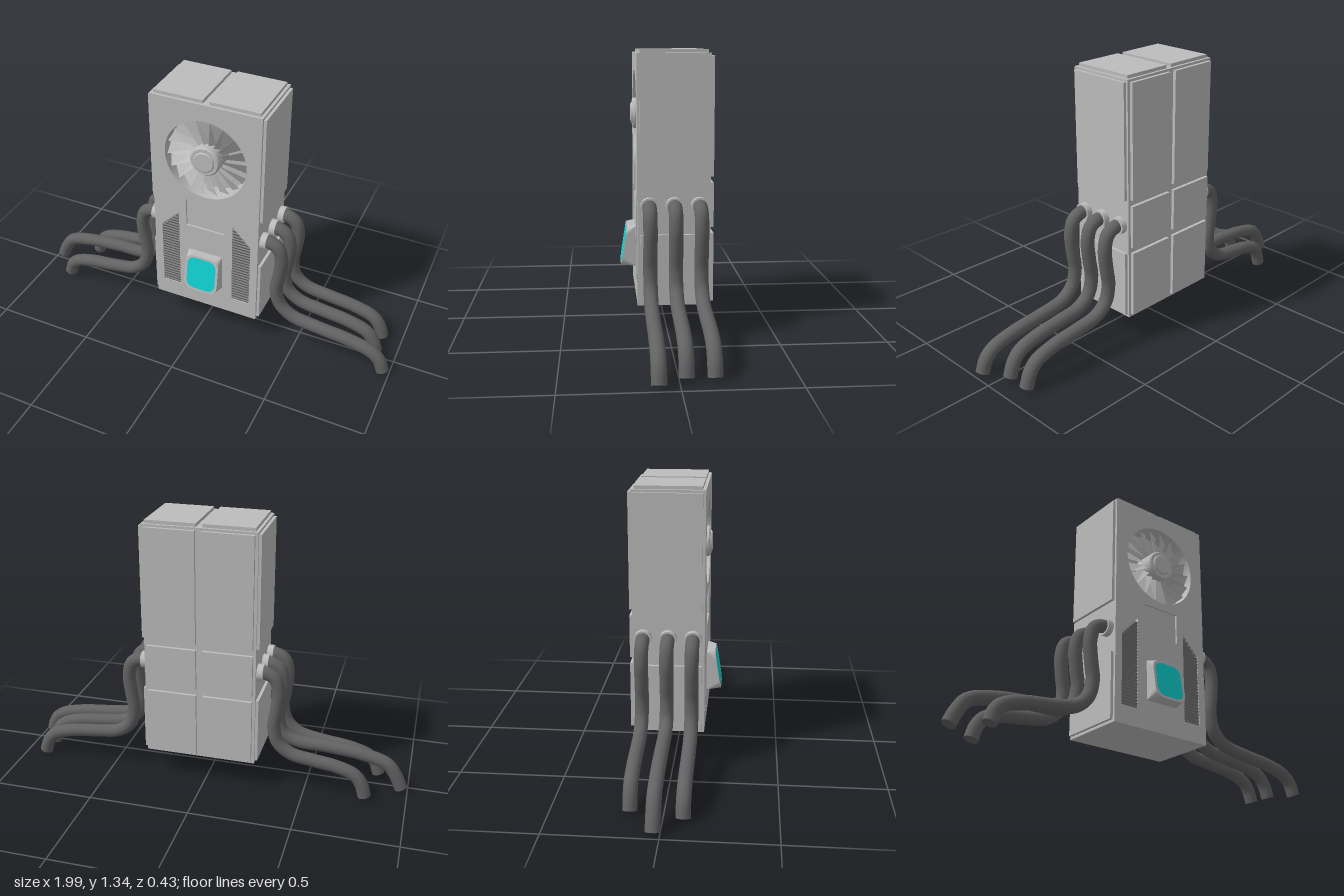
import * as THREE from 'three';

const CX = 0.023; // centre line of the cabinet
const FRONT = 0.143, BACK = -0.2, SPLIT = 0.04;
const FAN_Y = 1.025, FAN_R = 0.208;

export function createModel() {
  const model = new THREE.Group();
  const mat = (name, color, side = THREE.FrontSide) => {
    const m = new THREE.MeshStandardMaterial({ color, side });
    m.name = name;
    return m;
  };
  const grey = mat('casing grey', 0xbcbcbc, THREE.DoubleSide);
  const dark = mat('hose grey', 0x626262);
  const ventGrey = mat('vent grey', 0x7a7a7a);
  const cyan = mat('lamp cyan', 0x10d2d4);

  const add = (name, geo, material, parent = model) => {
    const mesh = new THREE.Mesh(geo, material);
    mesh.name = name;
    parent.add(mesh);
    return mesh;
  };
  // Box given by its limits
  const box = (name, x0, x1, y0, y1, z0, z1, material, parent) => {
    const m = add(name, new THREE.BoxGeometry(x1 - x0, y1 - y0, z1 - z0), material, parent);
    m.position.set((x0 + x1) / 2, (y0 + y1) / 2, (z0 + z1) / 2);
    return m;
  };
  const path = (points) => new THREE.Path(points.map(([x, y]) => new THREE.Vector2(x, y)));

  // Cabinet: rear block plus a front section with openings
  const W = 0.277, Y0 = 0.136, Y1 = 1.317;
  box('cabinetRear', CX - W, CX + W, Y0, Y1, BACK, SPLIT, grey);
  const face = new THREE.Shape([
    new THREE.Vector2(CX - W, Y0), new THREE.Vector2(CX + W, Y0),
    new THREE.Vector2(CX + W, Y1), new THREE.Vector2(CX - W, Y1)]);
  face.holes.push(new THREE.Path().absarc(CX, FAN_Y, FAN_R, 0, Math.PI * 2, true));
  face.holes.push(path([[-0.08, 0.623], [-0.08, 0.778], [0.126, 0.778], [0.126, 0.623]]));
  for (const s of [-1, 1]) {
    face.holes.push(path([[0.143, 0.227], [0.143, 0.687], [0.238, 0.59], [0.238, 0.227]]
      .map(([u, y]) => [CX + s * u, y])));
  }
  const faceGeo = new THREE.ExtrudeGeometry(face, { depth: FRONT - SPLIT, bevelEnabled: false, curveSegments: 64 });
  add('cabinetFront', faceGeo, grey).position.z = SPLIT;
  box('recessedPanel', -0.08, 0.126, 0.623, 0.778, SPLIT, FRONT - 0.01, grey);

  // Raised cover panels on top, back and sides
  for (const s of [-1, 1]) {
    const xs = [CX + s * 0.016, CX + s * 0.263].sort((a, b) => a - b);
    box('topPanel', xs[0], xs[1], Y1, 1.333, -0.187, 0.128, grey);
    for (const [y0, y1] of [[0.15, 0.478], [0.508, 0.718], [0.748, 1.305]]) {
      box('backPanel', xs[0], xs[1], y0, y1, -0.216, BACK, grey);
    }
    const sx = [CX + s * W, CX + s * 0.291].sort((a, b) => a - b);
    for (const [y0, y1] of [[0.15, 0.478], [0.747, 1.305]]) {
      box('sidePanel', sx[0], sx[1], y0, y1, -0.19, 0.13, grey);
    }
  }

  // Vents: tilted slats that get narrower at the slanted top
  for (const s of [-1, 1]) {
    const vent = new THREE.Group();
    vent.name = 'vent';
    model.add(vent);
    for (let y = 0.236; y < 0.68; y += 0.0165) {
      const outer = y < 0.585 ? 0.238 : 0.238 - (y - 0.585) * 0.95;
      const slat = add('ventSlat', new THREE.BoxGeometry(outer - 0.143, 0.014, 0.026), ventGrey, vent);
      slat.position.set(CX + s * (outer + 0.143) / 2, y, FRONT - 0.015);
      slat.rotation.x = 0.5;
    }
    const xs = [CX + s * 0.143, CX + s * 0.238].sort((a, b) => a - b);
    box('ventBacking', xs[0], xs[1], 0.227, 0.59, SPLIT, 0.118, ventGrey, vent);
  }

  // Fan: pitched blades around a stepped hub
  const fan = new THREE.Group();
  fan.name = 'fan';
  fan.position.set(CX, FAN_Y, 0);
  model.add(fan);
  const hubProfile = [[0.075, SPLIT], [0.075, 0.146], [0.068, 0.154], [0.052, 0.154], [0.052, 0.158], [0.047, 0.162], [0, 0.162]];
  const hubPoints = [];
  hubProfile.forEach(([r, z], i) => {
    hubPoints.push(new THREE.Vector2(r, z));
    if (i > 0 && i < hubProfile.length - 1) hubPoints.push(new THREE.Vector2(r, z)); // sharp edge
  });
  add('fanHub', new THREE.LatheGeometry(hubPoints, 40), grey, fan).rotation.x = Math.PI / 2;
  const blades = 18, sweep = Math.PI * 2 / blades;
  const bladePoint = (r, a, z) => [r * Math.cos(a), r * Math.sin(a), z];
  for (let i = 0; i < blades; i++) {
    const a = i * sweep, b = a + sweep * 1.1;
    const g = new THREE.BufferGeometry();
    g.setAttribute('position', new THREE.Float32BufferAttribute([
      ...bladePoint(0.07, a, 0.095), ...bladePoint(0.204, a + 0.06, 0.08),
      ...bladePoint(0.204, b + 0.06, 0.125), ...bladePoint(0.07, b, 0.125)], 3));
    g.setIndex([0, 1, 2, 0, 2, 3]);
    add('fanBlade', g.toNonIndexed(), grey, fan).geometry.computeVertexNormals();
  }

  // Lamp: square base blending into a rounded, tilted front
  const lampY = 0.38, hw = 0.09, hh = 0.099;
  const frontZ = (y) => 0.2 - (y - lampY) * 0.155;
  const outline = (w, h, r) => {
    const pts = [];
    for (let c = 0; c < 4; c++) {
      const sx = c === 0 || c === 3 ? 1 : -1, sy = c < 2 ? 1 : -1;
      for (let k = 0; k <= 6; k++) {
        const a = (c + k / 6) * Math.PI / 2;
        pts.push([CX + sx * (w - r) + r * Math.cos(a), lampY + sy * (h - r) + r * Math.sin(a)]);
      }
    }
    return pts;
  };
  const loft = (from, to) => {
    const p = [];
    from.forEach((a, i) => {
      const j = (i + 1) % from.length;
      p.push(...a, ...from[j], ...to[j], ...a, ...to[j], ...to[i]);
    });
    const g = new THREE.BufferGeometry();
    g.setAttribute('position', new THREE.Float32BufferAttribute(p, 3));
    g.computeVertexNormals();
    return g;
  };
  const tilted = (pts, lift = 0) => pts.map(([x, y]) => [x, y, frontZ(y) + lift]);
  const rim = tilted(outline(hw, hh, 0.045));
  const lens = outline(0.077, 0.087, 0.04);
  add('lampHousing', loft(outline(hw, hh, 0).map(([x, y]) => [x, y, FRONT]), rim), grey);
  add('lampRim', loft(rim, tilted(lens)), grey);
  add('lampLens', loft(tilted(lens), lens.map(() => [CX, lampY, frontZ(lampY)])), cyan);

  // Hoses: three per side, each with a collar; reach is the distance of the tip
  const hose = (s, z, reach, lift) => {
    const group = new THREE.Group();
    group.name = s > 0 ? 'leftHose' : 'rightHose';
    group.position.set(CX, 0, z);
    model.add(group);
    const far = (t) => 0.45 + (reach - 0.45) * t;
    const pts = [
      [0.27, 0.613], [0.32, 0.612], [0.362, 0.588], [0.381, 0.52], [0.373, 0.42], [0.362, 0.33],
      [0.384, 0.245], [0.45, 0.192 + lift * 0.5], [far(0.3), 0.17 + lift], [far(0.62), 0.152 + lift],
      [far(0.86), 0.118 + lift * 0.8], [far(0.95), 0.072], [reach, 0.011]];
    const curve = new THREE.CatmullRomCurve3(pts.map(([u, y]) => new THREE.Vector3(s * u, y, 0)));
    add('hose', new THREE.TubeGeometry(curve, 64, 0.033, 20), dark, group);
    const cap = add('hoseEnd', new THREE.CircleGeometry(0.033, 20), dark, group);
    cap.position.copy(curve.getPoint(1));
    cap.quaternion.setFromUnitVectors(new THREE.Vector3(0, 0, 1), curve.getTangent(1));
    const collar = add('hoseCollar', new THREE.CylinderGeometry(0.042, 0.042, 0.04, 28), grey, group);
    collar.rotation.z = Math.PI / 2;
    collar.position.set(s * 0.287, 0.613, 0);
  };
  hose(1, 0.088, 0.942, -0.01);
  hose(1, -0.03, 0.874, 0);
  hose(1, -0.148, 0.874, 0);
  hose(-1, 0.088, 0.868, -0.015);
  hose(-1, -0.03, 0.99, 0.022);
  hose(-1, -0.148, 0.822, 0);

  return model;
}
